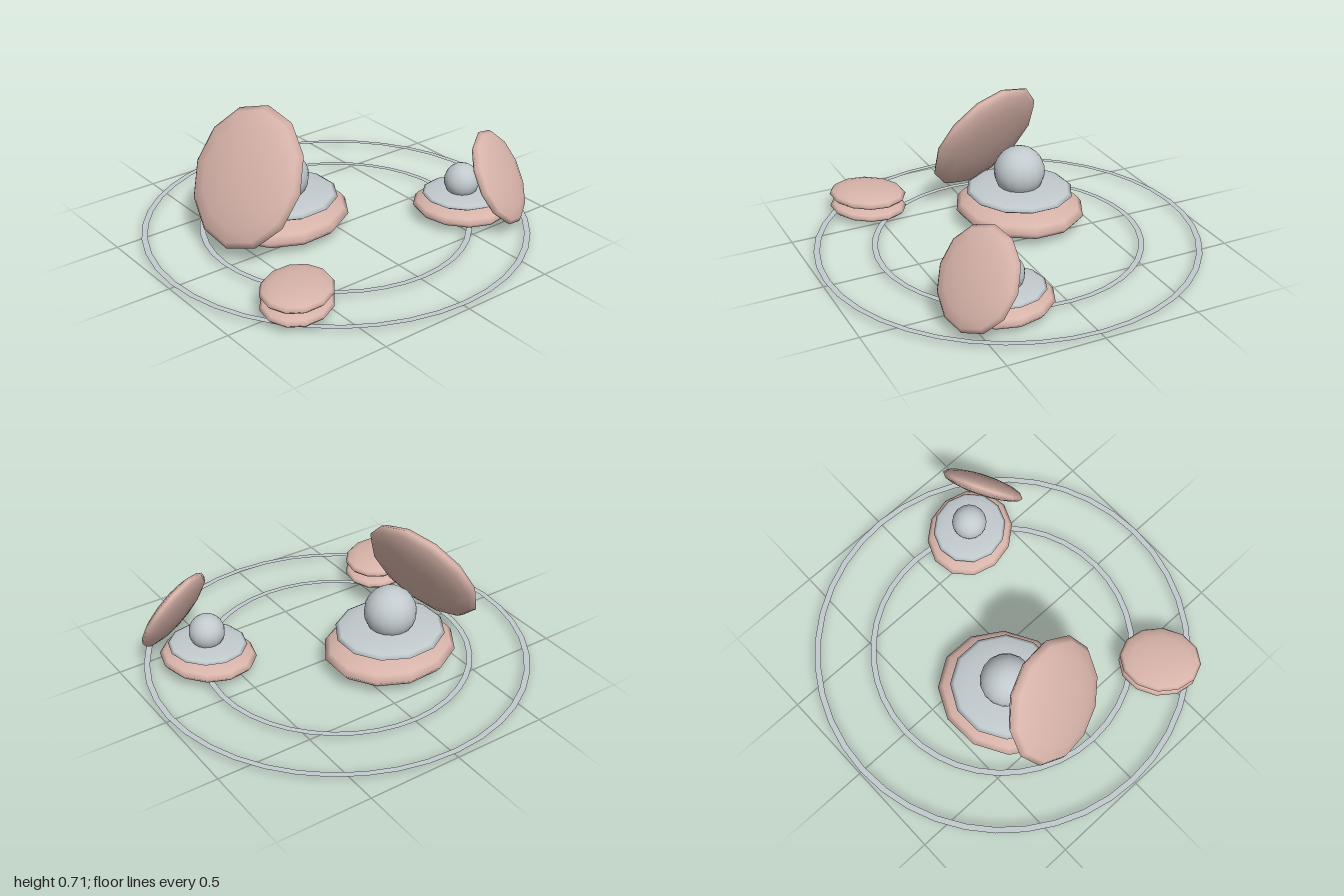
import * as THREE from 'three';

export function createModel() {
  const pink = new THREE.MeshStandardMaterial({ color: 0xd8b4aa });
  pink.name = 'shellPink';
  const grey = new THREE.MeshStandardMaterial({ color: 0xc2cace, side: THREE.DoubleSide });
  grey.name = 'pearlGrey';

  const model = new THREE.Group();
  model.name = 'pearlShells';

  const valveGeo = new THREE.SphereGeometry(1, 12, 8);
  const pearlGeo = new THREE.SphereGeometry(1, 16, 12);

  // Squashed ellipsoid; local +x points towards the hinge, tilt swings it open
  function blob(parent, name, geo, mat, size, pos, tilt = 0) {
    const mesh = new THREE.Mesh(geo, mat);
    mesh.name = name;
    mesh.scale.set(...size);
    mesh.position.set(...pos);
    mesh.rotation.z = -tilt;
    parent.add(mesh);
  }

  function shellGroup(name, x, z, turn) {
    const g = new THREE.Group();
    g.name = name;
    g.position.set(x, 0, z);
    g.rotation.y = turn;
    model.add(g);
    return g;
  }

  // Open shell: lower valve, mantle, pearl and raised lid
  function openShell(name, s) {
    const g = shellGroup(name, s.x, s.z, s.turn);
    blob(g, 'lowerValve', valveGeo, pink, [s.a, s.h, s.b], [0, s.baseY, 0]);
    blob(g, 'mantle', valveGeo, grey, [s.a * 0.8, s.mantleH, s.b * 0.85], [0, s.mantleY, 0]);
    blob(g, 'pearl', pearlGeo, grey, [s.r, s.r, s.r], [0, s.pearlY, 0]);
    blob(g, 'upperValve', valveGeo, pink, [s.a, s.h * 0.9, s.b], [s.lidX, s.lidY, 0], 1.07);
  }

  openShell('largeOpenShell', {
    x: -0.21, z: -0.17, turn: Math.PI + 0.28, a: 0.365, b: 0.325, h: 0.084, baseY: 0.088,
    mantleH: 0.036, mantleY: 0.185, r: 0.135, pearlY: 0.292, lidX: 0.275, lidY: 0.397,
  });
  openShell('smallOpenShell', {
    x: 0.59, z: 0.305, turn: -1.12, a: 0.257, b: 0.226, h: 0.058, baseY: 0.068,
    mantleH: 0.025, mantleY: 0.135, r: 0.092, pearlY: 0.21, lidX: 0.2, lidY: 0.272,
  });

  // Closed shell: two stacked valves
  const closed = shellGroup('closedShell', -0.635, 0.527, 0.7);
  blob(closed, 'lowerValve', valveGeo, pink, [0.212, 0.042, 0.175], [0, 0.054, 0]);
  blob(closed, 'upperValve', valveGeo, pink, [0.212, 0.042, 0.175], [0, 0.125, 0]);

  // Flat ripple rings
  for (const [name, inner, outer] of [['outerRing', 0.964, 0.995], ['innerRing', 0.67, 0.7]]) {
    const ring = new THREE.Mesh(new THREE.RingGeometry(inner, outer, 40), grey);
    ring.name = name;
    ring.rotation.x = -Math.PI / 2;
    ring.position.y = 0.03;
    model.add(ring);
  }

  return model;
}
